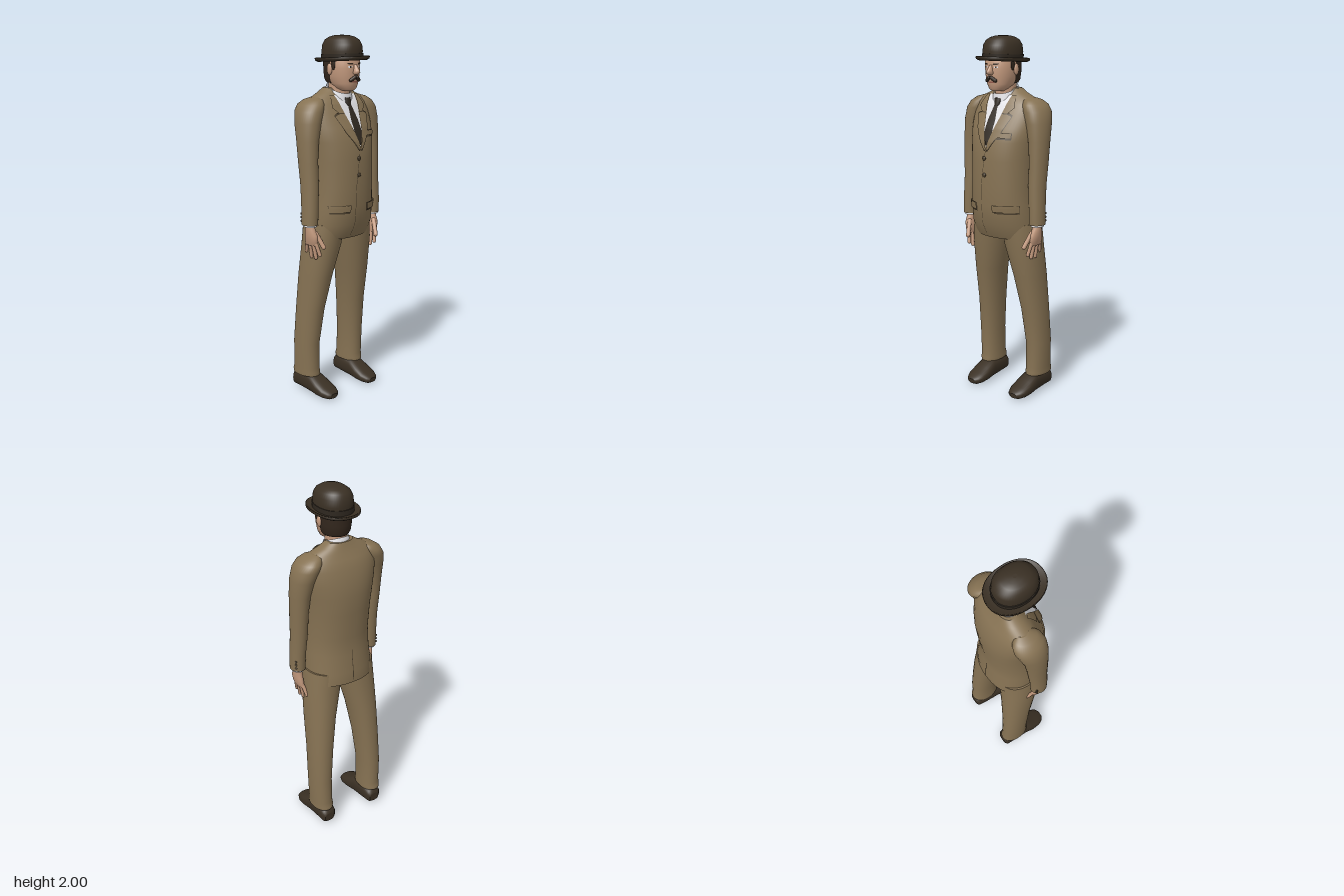
import * as THREE from 'three';

const mat = (name, color, side = THREE.FrontSide) => {
  const m = new THREE.MeshStandardMaterial({ color, side });
  m.name = name;
  return m;
};

// Ring: [y, centreX, centreZ, radiusX, radiusZ, tilt]. Rings run upwards and are superellipses.
const power = (v, n) => Math.sign(v) * Math.abs(v) ** (2 / n);

function loft(rings, { n = 2, seg = 40, cap = true, from = 0, to = Math.PI * 2 } = {}) {
  const closed = to - from > 6.28;
  const first = rings[0], last = rings[rings.length - 1];
  const point = (r) => [r[0], r[1], r[2], 0, 0, 0];
  const all = cap ? [point(first), first, ...rings, last, point(last)] : rings;
  const cols = closed ? seg : seg + 1;
  const pos = [], index = [];
  for (const [y, cx, cz, rx, rz, tilt = 0] of all) {
    for (let j = 0; j < cols; j++) {
      const t = from + (to - from) * j / seg;
      const dz = rz * power(Math.sin(t), n);
      pos.push(cx + rx * power(Math.cos(t), n), y + tilt * dz, cz + dz);
    }
  }
  for (let i = 0; i < all.length - 1; i++) {
    for (let j = 0; j < seg; j++) {
      const k = closed ? (j + 1) % seg : j + 1;
      const a = i * cols + j, b = i * cols + k, c = a + cols, d = b + cols;
      index.push(a, c, b, b, c, d);
    }
  }
  const g = new THREE.BufferGeometry();
  g.setAttribute('position', new THREE.Float32BufferAttribute(pos, 3));
  g.setIndex(index);
  g.computeVertexNormals();
  return g;
}

// Interpolates rows of numbers keyed by y in slot 0 (ascending).
function sample(rows, y) {
  let i = 0;
  while (i < rows.length - 2 && y > rows[i + 1][0]) i++;
  const a = rows[i], b = rows[i + 1];
  const f = THREE.MathUtils.clamp((y - a[0]) / (b[0] - a[0]), 0, 1);
  return a.map((v, k) => v + ((b[k] ?? 0) - v) * f);
}

// Thin patch lying on the front (dir 1) or back (dir -1) of a loft; rows are [y, xMin, xMax], ascending.
function drape(body, n, rows, lift, dir = 1) {
  const R = 24, C = 10, pos = [], index = [];
  for (let i = 0; i <= R; i++) {
    const y = rows[0][0] + (rows[rows.length - 1][0] - rows[0][0]) * i / R;
    const [, x0, x1] = sample(rows, y);
    const [, , cz, rx, rz] = sample(body, y);
    for (let j = 0; j <= C; j++) {
      const x = x0 + (x1 - x0) * j / C;
      const u = Math.min(0.97, Math.abs(x) / rx);
      pos.push(x, y, cz + dir * (rz * (1 - u ** n) ** (1 / n) + lift));
    }
  }
  for (let i = 0; i < R; i++) for (let j = 0; j < C; j++) {
    const a = i * (C + 1) + j, b = a + 1, c = a + C + 1, d = c + 1;
    if (dir > 0) index.push(a, b, c, b, d, c);
    else index.push(a, c, b, b, c, d);
  }
  const g = new THREE.BufferGeometry();
  g.setAttribute('position', new THREE.Float32BufferAttribute(pos, 3));
  g.setIndex(index);
  g.computeVertexNormals();
  return g;
}

function rod(p, q, r) {
  const a = new THREE.Vector3(...p), b = new THREE.Vector3(...q), d = b.clone().sub(a);
  const g = new THREE.CapsuleGeometry(r, d.length(), 5, 10);
  g.applyQuaternion(new THREE.Quaternion().setFromUnitVectors(new THREE.Vector3(0, 1, 0), d.normalize()));
  return g.translate(...a.add(b).multiplyScalar(0.5).toArray());
}

const ball = (x, y, z, rx, ry, rz) =>
  new THREE.SphereGeometry(1, 16, 12).scale(rx, ry, rz).translate(x, y, z);

export function createModel() {
  const model = new THREE.Group();
  model.name = 'gentleman';
  const suit = mat('suit tan', 0x867253, THREE.DoubleSide);
  const seam = mat('seam brown', 0x4b3f2d, THREE.DoubleSide);
  const dark = mat('hat and shoe brown', 0x3a3024);
  const skin = mat('skin', 0xc49a7e);
  const hair = mat('hair', 0x33271d, THREE.DoubleSide);
  const white = mat('shirt white', 0xe8e8ec, THREE.DoubleSide);
  const tie = mat('tie', 0x2f2820, THREE.DoubleSide);
  const lip = mat('lips', 0x9a5f50, THREE.DoubleSide);
  const add = (name, geometry, material) => {
    const m = new THREE.Mesh(geometry, material);
    m.name = name;
    model.add(m);
    return m;
  };

  // Jacket body
  const torso = [
    [0.925, 0, -0.025, 0.192, 0.143, -0.05], [1.0, 0, -0.005, 0.192, 0.163], [1.1, 0, 0.007, 0.186, 0.16],
    [1.2, 0, 0.01, 0.181, 0.16], [1.35, 0, 0.003, 0.186, 0.165], [1.45, 0, -0.004, 0.198, 0.161],
    [1.52, 0, -0.012, 0.208, 0.146], [1.6, 0, -0.024, 0.212, 0.118], [1.645, 0, -0.023, 0.2, 0.095],
    [1.675, 0, -0.025, 0.17, 0.077], [1.7, 0, -0.028, 0.115, 0.062], [1.725, 0, -0.03, 0.075, 0.05],
  ];
  const TN = 2.2;
  add('jacketBody', loft(torso, { n: TN, seg: 56 }), suit);
  const onChest = (name, rows, lift, material, dir) => add(name, drape(torso, TN, rows, lift, dir), material);

  // Shirt front, tie and lapels
  onChest('shirtFront', [[1.42, -0.003, 0.003], [1.5, -0.03, 0.03], [1.62, -0.062, 0.062], [1.69, -0.078, 0.078]], 0.004, white);
  onChest('tieBlade', [[1.43, -0.004, 0.004], [1.5, -0.026, 0.026], [1.56, -0.025, 0.025], [1.635, -0.012, 0.012]], 0.008, tie);
  add('tieKnot', loft([[1.622, 0, 0.074, 0.012, 0.012], [1.645, 0, 0.07, 0.02, 0.016], [1.675, 0, 0.064, 0.022, 0.014]], { seg: 16 }), tie);
  for (const s of [1, -1]) {
    const side = (y, a, b) => s > 0 ? [y, a, b] : [y, -b, -a];
    onChest('lapelEdge', [side(1.4, 0, 0.012), side(1.5, 0.027, 0.082), side(1.59, 0.052, 0.121), side(1.6, 0.054, 0.1)], 0.007, seam);
    onChest('lapel', [side(1.41, 0, 0.012), side(1.5, 0.027, 0.078), side(1.585, 0.052, 0.117), side(1.595, 0.054, 0.085)], 0.01, suit);
    onChest('jacketCollar', [side(1.6, 0.055, 0.09), side(1.63, 0.063, 0.12), side(1.69, 0.075, 0.1)], 0.009, suit);
  }
  add('shirtCollar', loft([
    [1.672, 0, 0.001, 0.074, 0.076, -0.5], [1.695, 0, 0, 0.071, 0.074, -0.45], [1.722, 0, 0.001, 0.064, 0.068, -0.38],
  ], { cap: false }), white);

  // Pockets, front opening, back vent and buttons
  const pockets = [['breastPocket', 0.04, 0.135, 1.475, 1.5], ['leftPocket', 0.045, 0.168, 1.075, 1.112], ['rightPocket', -0.168, -0.07, 1.075, 1.112]];
  for (const [name, x0, x1, y0, y1] of pockets) {
    onChest(name + 'Shade', [[y0 - 0.01, x0 + 0.006, x1], [y1, x0, x1]], 0.004, seam);
    onChest(name + 'Flap', [[y0, x0, x1], [y1, x0, x1]], 0.012, suit);
  }
  onChest('frontOpening', [[0.935, -0.034, -0.031], [1.2, -0.034, -0.031], [1.41, -0.006, -0.003]], 0.003, seam);
  onChest('backVent', [[0.95, -0.002, 0.002], [1.13, -0.002, 0.002]], 0.003, seam, -1);
  for (const y of [1.36, 1.27]) add('jacketButton', ball(-0.012, y, 0.17, 0.012, 0.012, 0.006), seam);

  for (const s of [1, -1]) {
    const mirror = (rings) => rings.map(([y, x, ...r]) => [y, x * s, ...r]);

    // Sleeve with shirt cuff
    add('sleeve', loft(mirror([
      [1.01, 0.236, 0.022, 0.041, 0.048], [1.1, 0.234, 0.021, 0.042, 0.05], [1.22, 0.228, 0.014, 0.045, 0.054],
      [1.35, 0.23, 0.005, 0.047, 0.06], [1.46, 0.226, -0.002, 0.053, 0.067], [1.55, 0.213, -0.012, 0.064, 0.08],
      [1.61, 0.197, -0.021, 0.068, 0.088], [1.645, 0.18, -0.025, 0.062, 0.082], [1.668, 0.163, -0.026, 0.045, 0.06],
      [1.68, 0.145, -0.027, 0.02, 0.03],
    ])), suit);
    add('shirtCuff', loft(mirror([[1.0, 0.236, 0.022, 0.034, 0.04], [1.02, 0.236, 0.022, 0.034, 0.04]])), white);
    for (const y of [1.03, 1.05, 1.07]) add('cuffButton', ball(s * 0.266, y, -0.012, 0.006, 0.006, 0.006), seam);

    // Hand and fingers
    add('palm', loft(mirror([
      [0.895, 0.227, 0.022, 0.014, 0.04], [0.92, 0.23, 0.026, 0.021, 0.047], [0.955, 0.234, 0.03, 0.024, 0.043],
      [0.99, 0.236, 0.024, 0.023, 0.03], [1.015, 0.236, 0.022, 0.024, 0.03],
    ]), { seg: 20 }), skin);
    [[0.058, 0.073, 0.845], [0.035, 0.042, 0.825], [0.011, 0.008, 0.825], [-0.009, -0.03, 0.85]].forEach(([z0, z1, y]) =>
      add('finger', rod([s * 0.228, 0.915, z0], [s * 0.212, y, z1], 0.0105), skin));
    add('thumb', rod([s * 0.224, 0.965, 0.055], [s * 0.202, 0.89, 0.093], 0.0125), skin);

    // Trouser leg
    add('trouserLeg', loft(mirror([
      [0.108, 0.168, -0.09, 0.058, 0.088], [0.125, 0.168, -0.09, 0.06, 0.088], [0.15, 0.168, -0.088, 0.058, 0.082],
      [0.3, 0.17, -0.085, 0.061, 0.081], [0.5, 0.157, -0.068, 0.069, 0.088], [0.7, 0.139, -0.043, 0.082, 0.103],
      [0.88, 0.113, -0.02, 0.101, 0.114], [1.0, 0.1, -0.015, 0.1, 0.12],
    ]), { n: 2.15 }), suit);

    // Shoe, lofted from heel to toe
    add('shoe', loft(mirror([
      [-0.176, 0.162, -0.05, 0.03, 0.026], [-0.165, 0.162, -0.06, 0.045, 0.045], [-0.12, 0.16, -0.068, 0.051, 0.054],
      [-0.03, 0.159, -0.063, 0.054, 0.056], [0.03, 0.158, -0.046, 0.061, 0.041], [0.08, 0.157, -0.034, 0.058, 0.03],
      [0.113, 0.156, -0.027, 0.043, 0.022], [0.126, 0.156, -0.024, 0.022, 0.013],
    ]), { n: 2.5, seg: 28 }).rotateX(Math.PI / 2), dark);
  }

  // Head and neck
  const head = [
    [1.712, 0, 0.066, 0.03, 0.035], [1.725, 0, 0.058, 0.05, 0.056], [1.75, 0, 0.04, 0.068, 0.079],
    [1.79, 0, 0.03, 0.079, 0.096], [1.83, 0, 0.027, 0.085, 0.1], [1.88, 0, 0.025, 0.086, 0.1], [1.92, 0, 0.022, 0.07, 0.08],
  ];
  add('head', loft(head, { n: 2.15 }), skin);
  add('neck', loft([[1.64, 0, 0, 0.054, 0.056], [1.78, 0, 0.005, 0.058, 0.06]]), skin);
  add('hair', loft([
    [1.752, 0, 0.012, 0.068, 0.08], [1.77, 0, 0.012, 0.079, 0.09], [1.81, 0, 0.018, 0.087, 0.101], [1.88, 0, 0.02, 0.09, 0.104],
  ], { from: Math.PI * 0.98, to: Math.PI * 2.02, cap: false }), hair);
  add('nose', loft([
    [1.798, 0, 0.127, 0.01, 0.014], [1.808, 0, 0.13, 0.018, 0.028], [1.82, 0, 0.13, 0.014, 0.025], [1.85, 0, 0.122, 0.008, 0.01],
  ], { seg: 16 }), skin);
  const onFace = (name, rows, lift, material) => add(name, drape(head, 2.15, rows, lift), material);
  onFace('mouth', [[1.756, -0.018, 0.018], [1.764, -0.024, 0.024]], 0.003, lip);
  for (const s of [1, -1]) {
    const at = (y, a, b) => s > 0 ? [y, a, b] : [y, -b, -a];
    add('ear', ball(s * 0.088, 1.825, 0.022, 0.01, 0.03, 0.018), skin);
    add('sideburn', ball(s * 0.084, 1.85, 0.045, 0.005, 0.03, 0.015), hair);
    add('moustacheHalf', rod([s * 0.008, 1.784, 0.131], [s * 0.029, 1.769, 0.122], 0.0095), hair);
    onFace('eyeWhite', [at(1.834, 0.024, 0.042), at(1.843, 0.022, 0.044)], 0.002, white);
    onFace('iris', [at(1.834, 0.029, 0.037), at(1.843, 0.029, 0.037)], 0.004, hair);
    onFace('eyebrow', [at(1.85, 0.016, 0.04), at(1.858, 0.02, 0.05)], 0.004, hair);
  }

  // Bowler hat
  const T = 0.06, hatRing = (y, rx, rz, tilt = T) => [y, 0, 0.026, rx, rz, tilt];
  add('hatCrown', loft([
    hatRing(1.872, 0.092, 0.112), hatRing(1.915, 0.095, 0.117, 0.03), hatRing(1.95, 0.091, 0.113, 0.01),
    hatRing(1.975, 0.079, 0.098, 0), hatRing(1.99, 0.059, 0.074, 0), hatRing(1.998, 0.034, 0.043, 0), hatRing(2.0, 0.01, 0.012, 0),
  ], { n: 2.2, seg: 48 }), dark);
  add('hatBand', loft([hatRing(1.877, 0.097, 0.119), hatRing(1.903, 0.098, 0.12, 0.04)], { n: 2.2, seg: 48 }), tie);
  add('hatBrim', loft([
    hatRing(1.866, 0.085, 0.1), hatRing(1.865, 0.112, 0.142), hatRing(1.873, 0.125, 0.156), hatRing(1.884, 0.126, 0.157),
    hatRing(1.887, 0.122, 0.152), hatRing(1.878, 0.112, 0.14), hatRing(1.875, 0.09, 0.11),
  ], { n: 2.2, seg: 48 }), dark);

  return model;
}
